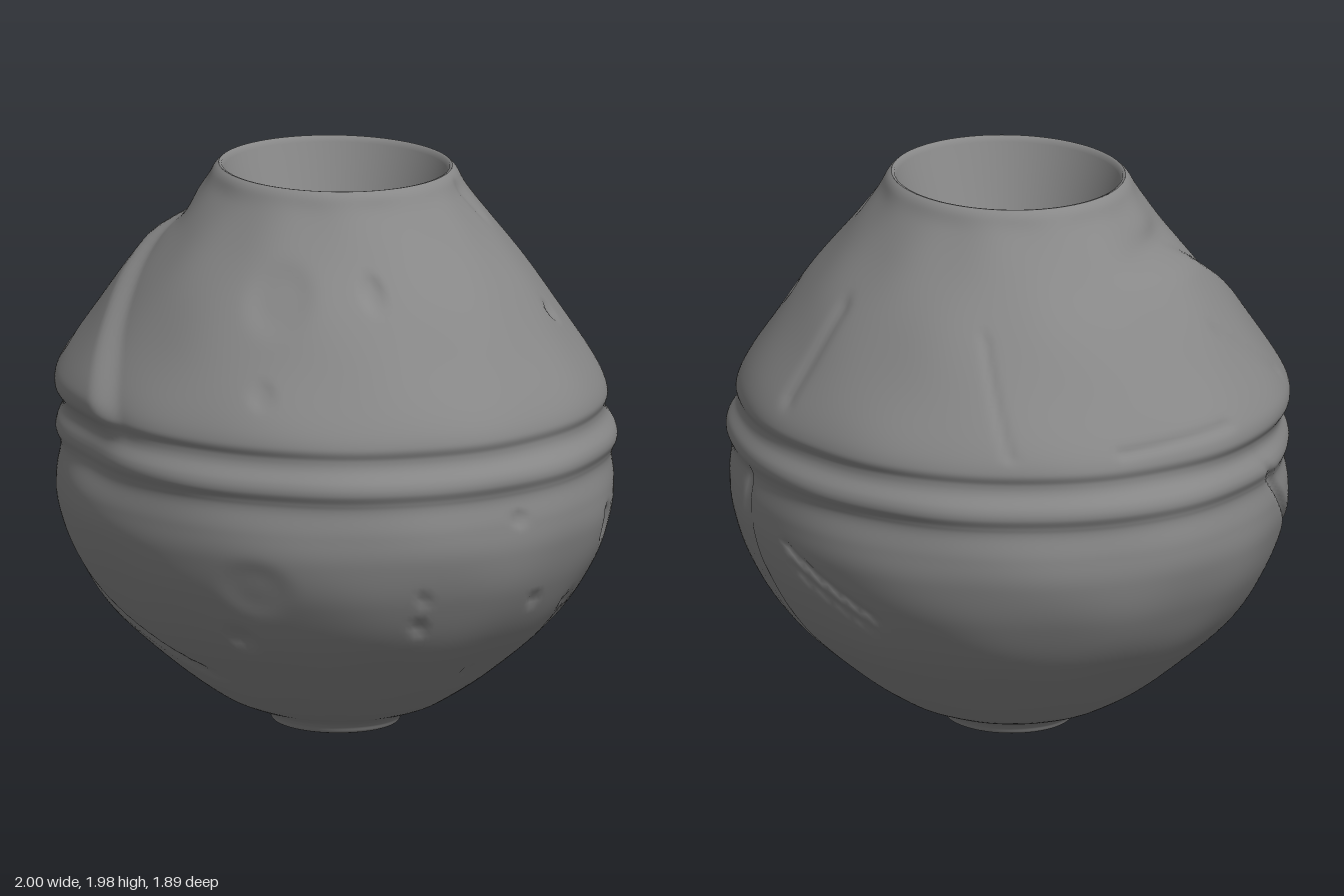
import * as THREE from 'three';
import { mergeVertices } from 'three/addons/utils/BufferGeometryUtils.js';

const DEPTH = 0.945; // the body is slightly narrower front to back
const { smoothstep, degToRad } = THREE.MathUtils;
const wrap = (a) => ((a + 540) % 360) - 180;
const bump = (u) => Math.exp(-u * u);

// Radius against height, from foot to mouth
const PROFILE = [
  [0.205, 0], [0.225, 0.008], [0.24, 0.03], [0.275, 0.053], [0.41, 0.108], [0.58, 0.225],
  [0.8, 0.42], [0.925, 0.61], [0.982, 0.77], [0.99, 0.88], [0.979, 0.965], [0.984, 1.0],
  [0.998, 1.035], [0.992, 1.07], [0.963, 1.115], [0.956, 1.15], [0.964, 1.195],
  [0.928, 1.275], [0.83, 1.42], [0.705, 1.6], [0.565, 1.775], [0.47, 1.9], [0.435, 1.96], [0.415, 1.98],
];

// Chips: angle from the front, height, half width, half height, depth
const CHIPS = [
  [25, 1.64, 0.11, 0.1, 0.016], [54, 1.67, 0.04, 0.05, 0.02], [25, 1.35, 0.04, 0.04, 0.01],
  [19, 0.47, 0.05, 0.04, 0.02], [122, 1.5, 0.03, 0.03, 0.015], [120, 0.77, 0.04, 0.06, 0.02],
  [116, 0.43, 0.06, 0.04, 0.02], [112, 0.51, 0.04, 0.03, 0.015], [62, 0.53, 0.03, 0.03, 0.015],
  [93, 0.58, 0.03, 0.02, 0.015], [84, 0.9, 0.03, 0.03, 0.01], [25, 0.68, 0.12, 0.09, 0.01],
  [87, 0.3, 0.025, 0.02, 0.012], [62, 0.64, 0.02, 0.03, 0.012],
];

// Scratches as angle and height at each end, half width, depth
const SCRATCHES = [
  [151, 0.98, 156, 0.15, 0.022, 0.014], [162, 1.3, 164, 1.6, 0.03, 0.014],
  [124, 1.83, 118, 1.95, 0.025, 0.012], [168, 0.8, 190, 0.6, 0.015, 0.014],
  [170, 0.72, 188, 0.55, 0.015, 0.01], [-146, 1.6, -139, 1.25, 0.018, 0.009],
  [132, 0.45, 147, 0.42, 0.016, 0.012], [130, 0.3, 145, 0.27, 0.016, 0.012],
  [-114, 1.24, -85, 1.26, 0.018, 0.01], [-72, 1.52, -54, 1.3, 0.02, 0.008],
];

// Raised, flattened slab at one side, bounded by a crease and a long groove
function slab(angle, y) {
  const crease = -7 - 50 * Math.pow(Math.max(0, (y - 1.1) / 0.67), 1.6);
  let d = 0.045 * smoothstep(crease - angle, 0, 9) * (1 - smoothstep(-angle, 55, 115))
    * smoothstep(y, 1.06, 1.25) * (1 - smoothstep(y, 1.68, 1.79));
  d -= 0.035 * bump(wrap(angle + 24) / 14) * bump((y - 1.04) / 0.12);
  d -= 0.025 * bump(wrap(angle + 64) / 18) * bump((y - 1.79) / 0.05);
  const grooveY = 0.27 + 0.68 * Math.pow(Math.max(0, -angle / 66), 1.5);
  const along = smoothstep(angle, -80, -58) * (1 - smoothstep(angle, -8, 10));
  return d - 0.026 * along * bump((y - grooveY) / 0.025);
}

function wear(angle, y, r) {
  let d = slab(angle, y);
  for (const [a, h, w, t, depth] of CHIPS) {
    const s = degToRad(wrap(angle - a)) * r / w;
    d -= depth * Math.exp(-((s * s + ((y - h) / t) ** 2) ** 2));
  }
  for (const [a0, y0, a1, y1, w, depth] of SCRATCHES) {
    const px = degToRad(wrap(angle - a0)) * r, py = y - y0;
    const ex = degToRad(wrap(a1 - a0)) * r, ey = y1 - y0;
    const t = THREE.MathUtils.clamp((px * ex + py * ey) / (ex * ex + ey * ey), 0, 1);
    d -= depth * bump(Math.hypot(px - t * ex, py - t * ey) / w);
  }
  // Gentle hand-made unevenness
  const a = degToRad(angle);
  d += 0.003 * (Math.sin(7 * a + 5 * y) * Math.sin(9 * y + 2 * a) + Math.sin(13 * a - 8 * y) * 0.5);
  return d * smoothstep(y, 0.03, 0.15) * (1 - smoothstep(y, 1.9, 1.98));
}

function turned(name, points, segments, rule) {
  let geo = new THREE.LatheGeometry(points, segments);
  geo.deleteAttribute('uv');
  geo.deleteAttribute('normal');
  geo = mergeVertices(geo, 1e-5);
  const p = geo.attributes.position;
  for (let i = 0; i < p.count; i++) {
    const x = p.getX(i), y = p.getY(i), z = p.getZ(i), r = Math.hypot(x, z);
    const k = rule ? 1 + rule(THREE.MathUtils.radToDeg(Math.atan2(x, z)), y, r) / r : 1;
    p.setXYZ(i, x * k, y, z * k * DEPTH);
  }
  geo.computeVertexNormals();
  const mesh = new THREE.Mesh(geo, new THREE.MeshStandardMaterial({ color: 0x888888, side: THREE.DoubleSide }));
  mesh.name = name;
  return mesh;
}

export function createModel() {
  const group = new THREE.Group();
  group.name = 'vase';
  const vec = ([r, y]) => new THREE.Vector2(r, y);

  // Outer wall with the belt ridge and surface damage
  const outline = new THREE.SplineCurve(PROFILE.map(vec)).getPoints(184);
  group.add(turned('body', outline, 240, wear));

  // Flat underside of the foot
  group.add(turned('footBase', [[0, 0], [0.205, 0]].map(vec), 64));

  // Rounded lip running into a straight conical hollow
  const hollow = [[0.415, 1.98], [0.405, 1.978], [0.397, 1.96], [0.385, 1.92], [0.2, 1.4], [0.02, 0.9], [0, 0.84]];
  group.add(turned('mouthHollow', hollow.map(vec), 96));

  return group;
}
